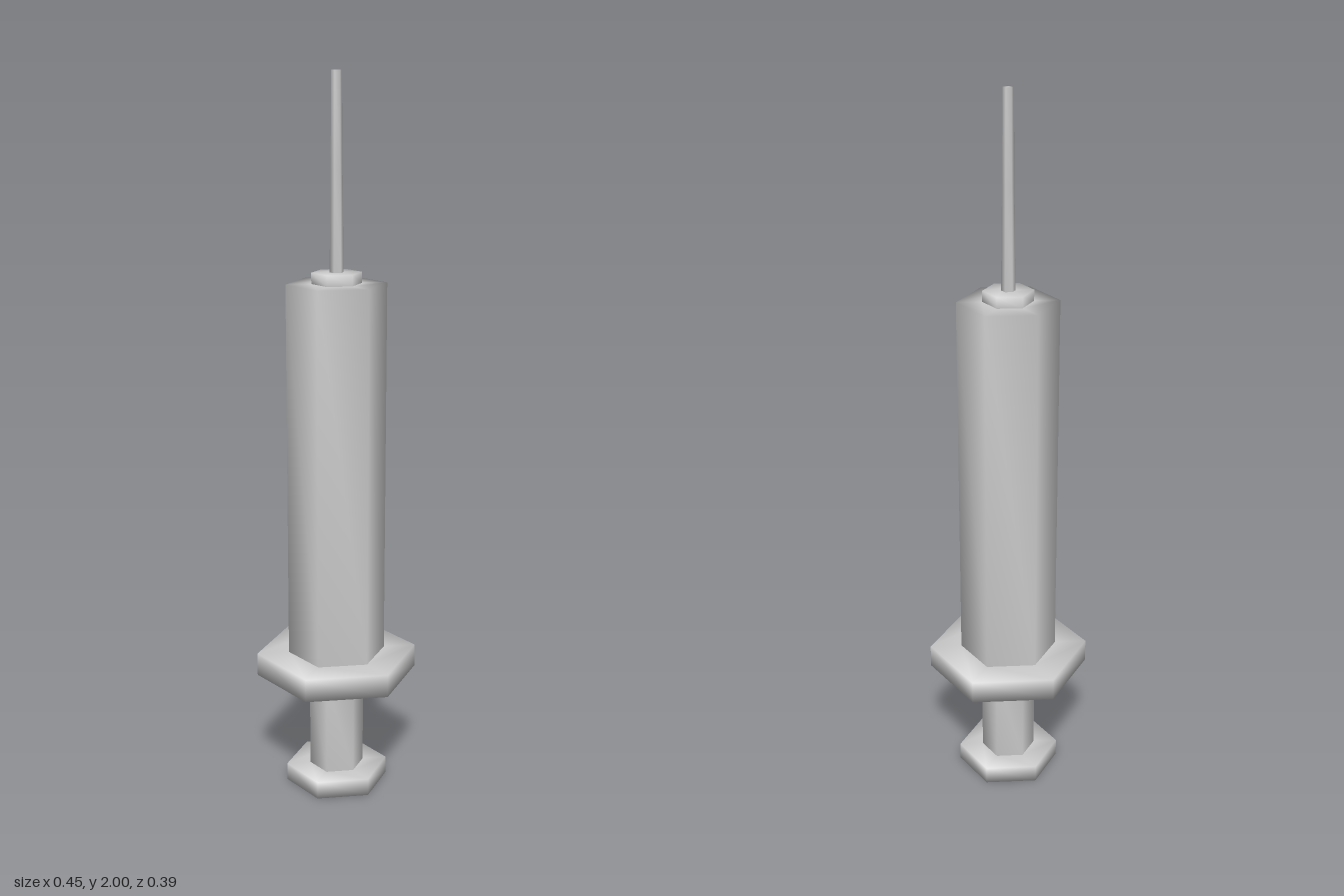
import * as THREE from 'three';
import { mergeVertices } from 'three/addons/utils/BufferGeometryUtils.js';

const material = new THREE.MeshStandardMaterial({ color: 0xcccccc });

// Six-sided turned part with corners on the x axis and normals blended over its edges.
// The profile is a list of [radius, height], running from bottom to top.
function hexPart(name, profile) {
  const points = profile.map(([r, y]) => new THREE.Vector2(r, y));
  const lathe = new THREE.LatheGeometry(points, 6, Math.PI / 2);
  lathe.deleteAttribute('normal');
  lathe.deleteAttribute('uv');
  const geometry = mergeVertices(lathe, 1e-4);
  geometry.computeVertexNormals();
  const mesh = new THREE.Mesh(geometry, material);
  mesh.name = name;
  return mesh;
}

export function createModel() {
  const group = new THREE.Group();
  group.name = 'syringe';

  // Radii and heights shared by neighbouring parts
  const rod = 0.077, barrel = 0.137, hub = 0.068, needle = 0.019;
  const padTop = 0.05, flangeBottom = 0.335, flangeTop = 0.4, barrelTop = 1.45, hubTop = 1.48;

  group.add(
    // Plunger: thumb pad and rod
    hexPart('thumbPad', [[0, 0], [0.145, 0], [0.145, padTop], [rod, padTop]]),
    hexPart('plungerRod', [[rod, padTop], [rod, flangeBottom]]),
    // Body: finger flange and barrel
    hexPart('fingerFlange', [[rod, flangeBottom], [0.227, flangeBottom], [0.227, flangeTop], [barrel, flangeTop]]),
    hexPart('barrel', [[barrel, flangeTop], [barrel, barrelTop], [hub, barrelTop]]),
    // Tip: hub and tapering needle
    hexPart('needleHub', [[hub, barrelTop], [hub, hubTop], [needle, hubTop]]),
    hexPart('needle', [[needle, hubTop], [0.016, 1.75], [0.014, 2], [0, 2]])
  );
  return group;
}
